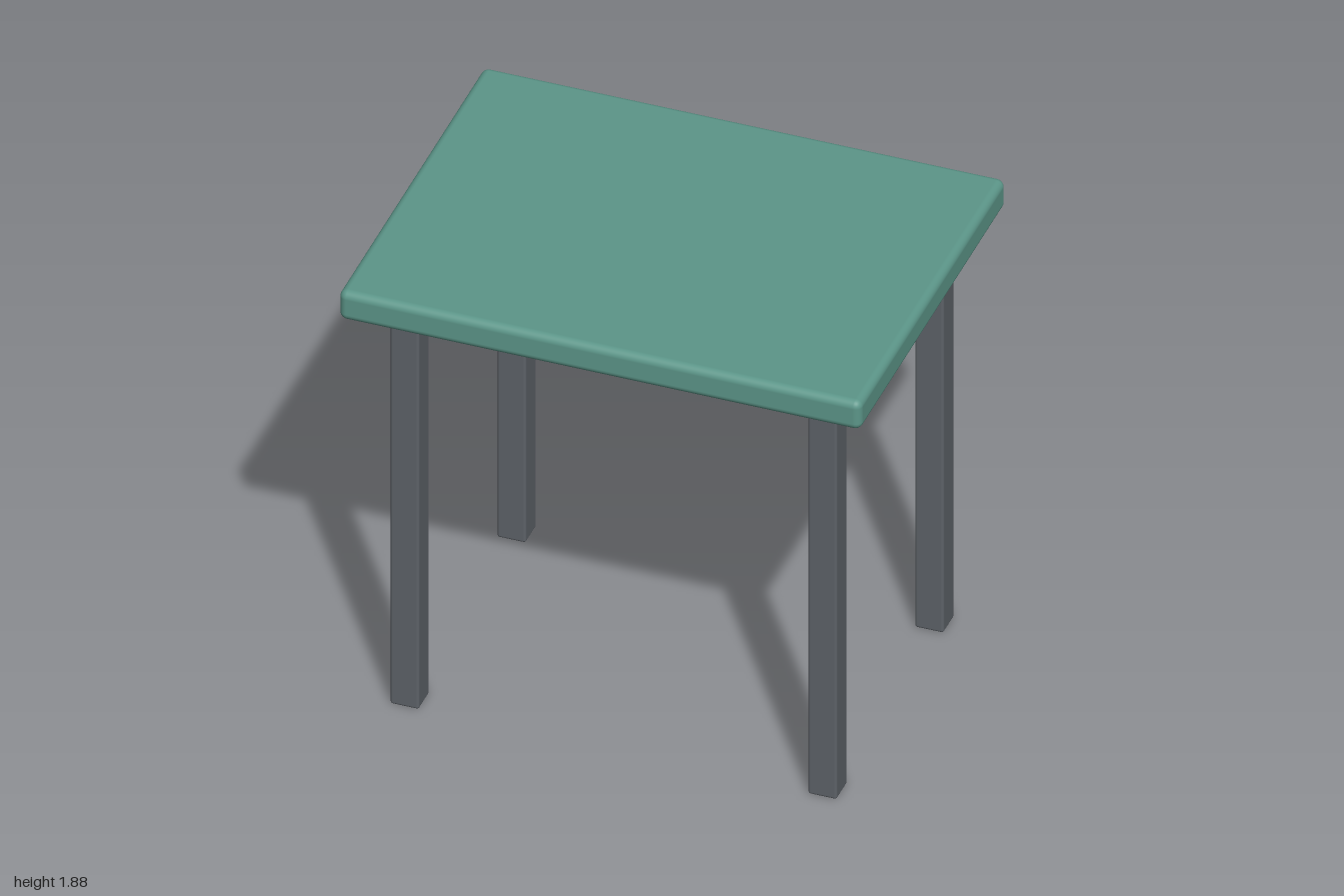
import * as THREE from 'three';
import { RoundedBoxGeometry } from 'three/addons/geometries/RoundedBoxGeometry.js';

const TOP = { width: 2, height: 0.125, depth: 1.5, radius: 0.03 };
const LEG = { size: 0.11, height: 1.75, radius: 0.01, x: 0.8, z: 0.55 };

export function createModel() {
  const table = new THREE.Group();
  table.name = 'table';
  const green = new THREE.MeshStandardMaterial({ color: 0x5c9689 });
  const grey = new THREE.MeshStandardMaterial({ color: 0x5d6268 });

  // Slab with softly rounded edges
  const top = new THREE.Mesh(
    new RoundedBoxGeometry(TOP.width, TOP.height, TOP.depth, 4, TOP.radius), green);
  top.name = 'tableTop';
  top.position.y = LEG.height + TOP.height / 2;
  table.add(top);

  // Four square legs with slightly eased edges, meeting the slab's underside
  const legGeometry = new RoundedBoxGeometry(LEG.size, LEG.height, LEG.size, 3, LEG.radius);
  for (const [side, sx] of [['Left', 1], ['Right', -1]]) {
    for (const [end, sz] of [['front', 1], ['back', -1]]) {
      const leg = new THREE.Mesh(legGeometry, grey);
      leg.name = `${end}${side}Leg`;
      leg.position.set(sx * LEG.x, LEG.height / 2, sz * LEG.z);
      table.add(leg);
    }
  }
  return table;
}
